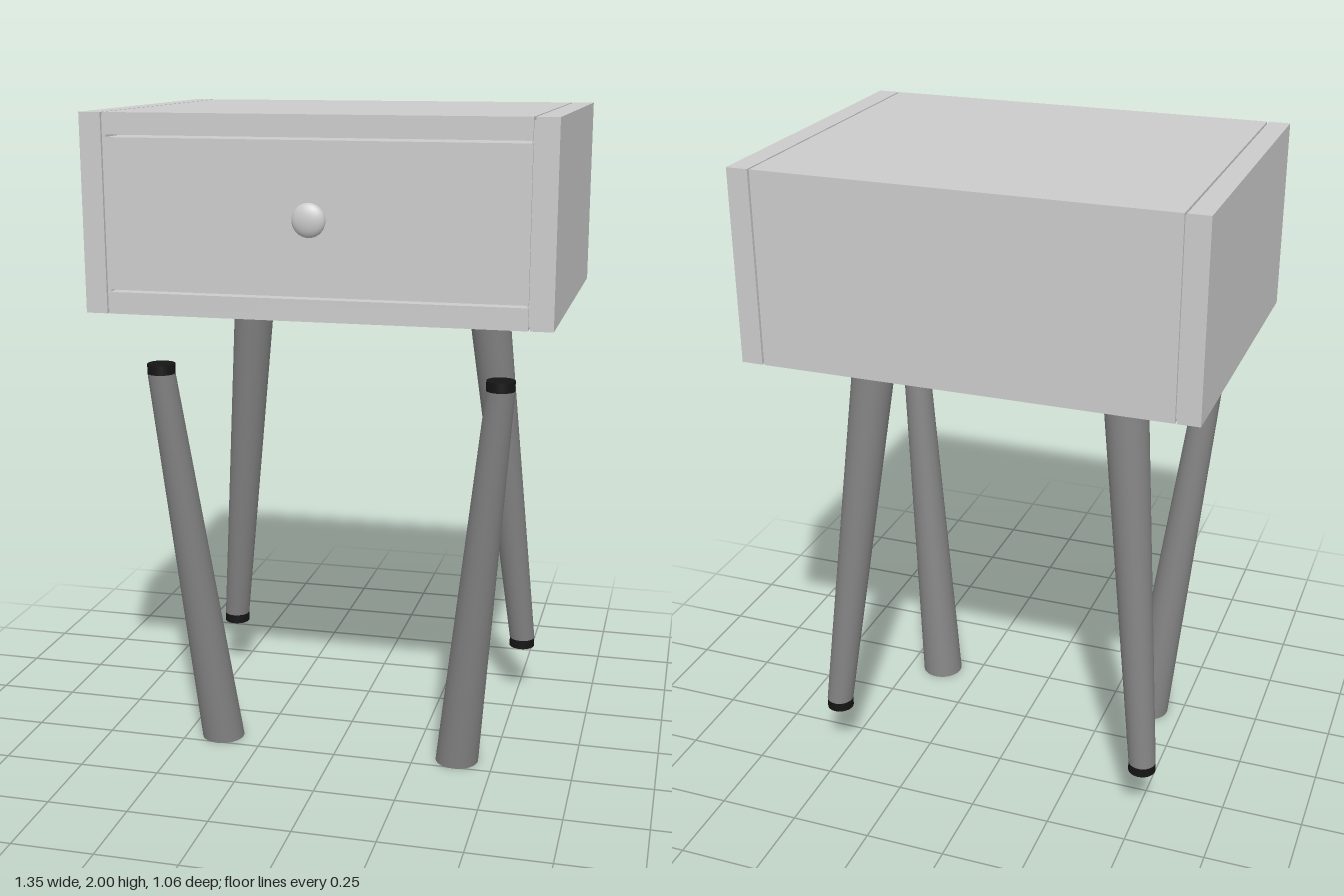
import * as THREE from 'three';

const grey = new THREE.MeshStandardMaterial({ color: 0xcccccc });
const legGrey = new THREE.MeshStandardMaterial({ color: 0x828282 });
const black = new THREE.MeshStandardMaterial({ color: 0x151515 });

function add(parent, name, geometry, material, x = 0, y = 0, z = 0) {
  const mesh = new THREE.Mesh(geometry, material);
  mesh.name = name;
  mesh.position.set(x, y, z);
  parent.add(mesh);
  return mesh;
}

// Box given by its limits on each axis
function addBox(parent, name, [x0, x1], [y0, y1], [z0, z1]) {
  return add(parent, name, new THREE.BoxGeometry(x1 - x0, y1 - y0, z1 - z0), grey,
    (x0 + x1) / 2, (y0 + y1) / 2, (z0 + z1) / 2);
}

// Tapered leg with level ends, leaning from its thick end to its capped thin end
function makeLeg(name, thick, thin) {
  const leg = new THREE.Group();
  leg.name = name;
  const up = thin.y > thick.y;
  const cap = 0.03;
  const end = thin.clone();
  end.y += up ? -cap : cap;
  const [top, bottom] = up ? [end, thick] : [thick, end];
  const h = top.y - bottom.y;
  const shaft = new THREE.CylinderGeometry(up ? 0.042 : 0.067, up ? 0.067 : 0.042, h, 32);
  shaft.applyMatrix4(new THREE.Matrix4().set(
    1, (top.x - bottom.x) / h, 0, 0,
    0, 1, 0, 0,
    0, (top.z - bottom.z) / h, 1, 0,
    0, 0, 0, 1));
  const mid = top.clone().add(bottom).multiplyScalar(0.5);
  add(leg, 'legShaft', shaft, legGrey, mid.x, mid.y, mid.z);
  add(leg, 'legCap', new THREE.CylinderGeometry(0.042, 0.042, cap, 32), black,
    thin.x, (thin.y + end.y) / 2, thin.z);
  return leg;
}

export function createModel() {
  const model = new THREE.Group();
  model.name = 'bedsideTable';
  const back = -0.53, front = 0.48, base = 1.43, top = 2;
  const inner = 0.605;

  // Top, back and bottom as one C-shaped section, run across the width
  const section = new THREE.Shape([
    [front, base], [front, 1.493], [-0.47, 1.493], [-0.47, 1.938],
    [front, 1.938], [front, top], [back, top], [back, base],
  ].map(([z, y]) => new THREE.Vector2(-z, y)));
  const shell = new THREE.ExtrudeGeometry(section, { depth: 2 * inner, bevelEnabled: false });
  shell.rotateY(Math.PI / 2);
  add(model, 'cabinetShell', shell, grey, -inner);

  // Drawer, with a narrow shadow gap all round
  addBox(model, 'drawer', [-inner, inner], [1.5, 1.931], [-0.45, front]);

  // Side panels and the tongues that set them off from the shell
  for (const s of [-1, 1]) {
    const side = s > 0 ? 'left' : 'right';
    addBox(model, side + 'SidePanel', s > 0 ? [0.611, 0.675] : [-0.675, -0.611], [base, top], [back, front]);
    addBox(model, side + 'Tongue', s > 0 ? [0.6, 0.615] : [-0.615, -0.6],
      [base + 0.01, top - 0.01], [back + 0.01, front - 0.01]);

    // Rear legs hang from the cabinet, front legs stand thick end down
    model.add(makeLeg(side + 'RearLeg',
      new THREE.Vector3(s * 0.385, base, -0.242), new THREE.Vector3(s * 0.513, 0.175, -0.37)));
    model.add(makeLeg(side + 'FrontLeg',
      new THREE.Vector3(s * 0.385, 0, 0.19), new THREE.Vector3(s * 0.513, 1.255, 0.318)));
  }

  // Turned knob: slim neck and a flattened round head
  const neck = new THREE.CylinderGeometry(0.018, 0.018, 0.035, 24).rotateX(Math.PI / 2);
  add(model, 'knobNeck', neck, grey, 0, 1.717, 0.495);
  const head = new THREE.SphereGeometry(0.048, 32, 20).scale(1, 1, 0.47);
  add(model, 'knobHead', head, grey, 0, 1.717, 0.511);

  return model;
}
